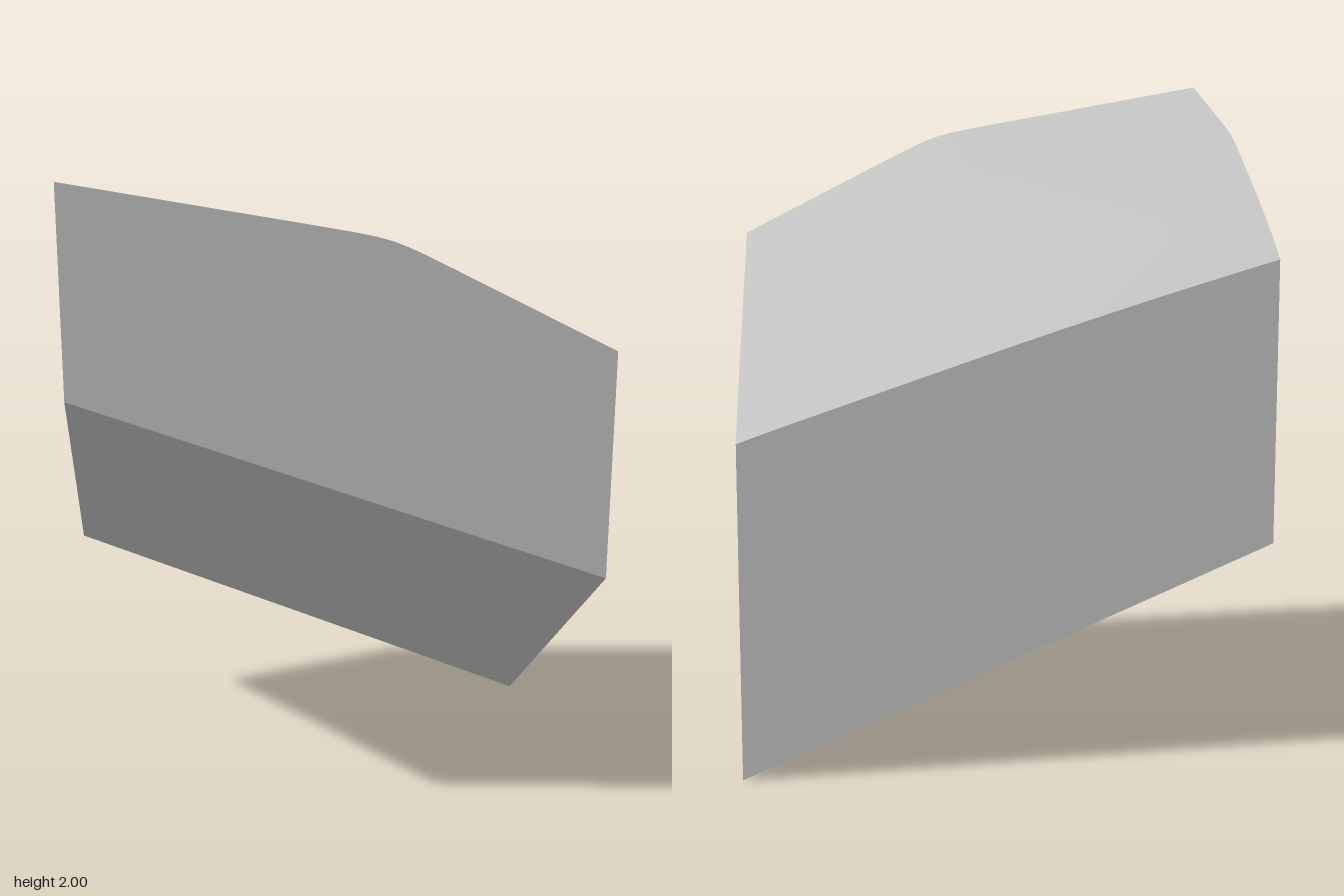
import * as THREE from 'three';

const W = 0.765, D = 0.552; // half width and half depth

// Planes y = a + b*x + c*z whose softened lower envelope is the top
const planes = [
  [1.558, -0.341, 0.59],  // main slope
  [1.684, -0.183, 0.32],  // shallow corner
  [1.638, -0.513, 0.48],  // steep triangular side
  [1.66, -0.294, 0.75],   // steep rear corner
];
const soft = 0.008;

function topY(x, z) {
  const h = planes.map(([a, b, c]) => a + b * x + c * z);
  const low = Math.min(...h);
  const sum = h.reduce((s, v) => s + Math.exp((low - v) / soft), 0);
  return low - soft * Math.log(sum);
}

// Footprint corners, counterclockwise from above: x, z, underside height
const corners = [
  [-W, D, 1.412],
  [W, D, 0.837],
  [W, -D, 0],
  [-W, -D, 0.652],
];

export function createModel() {
  const group = new THREE.Group();
  const grey = new THREE.MeshStandardMaterial({ color: 0xc0c0c0 });
  grey.name = 'light grey';

  function add(name, geometry) {
    geometry.computeVertexNormals();
    const mesh = new THREE.Mesh(geometry, grey);
    mesh.name = name;
    group.add(mesh);
  }

  // Softly faceted top
  const top = new THREE.PlaneGeometry(2 * W, 2 * D, 72, 54).rotateX(-Math.PI / 2);
  const tp = top.attributes.position;
  for (let i = 0; i < tp.count; i++) tp.setY(i, topY(tp.getX(i), tp.getZ(i)));
  add('top', top);

  // Upright walls between the top and the sloping underside
  ['frontWall', 'leftWall', 'backWall', 'rightWall'].forEach((name, k) => {
    const [x0, z0, y0] = corners[k];
    const [x1, z1, y1] = corners[(k + 1) % 4];
    const wall = new THREE.PlaneGeometry(1, 1, k % 2 ? 54 : 72, 1);
    const p = wall.attributes.position;
    for (let i = 0; i < p.count; i++) {
      const t = p.getX(i) + 0.5;
      const x = x0 + (x1 - x0) * t, z = z0 + (z1 - z0) * t;
      p.setXYZ(i, x, p.getY(i) > 0 ? topY(x, z) : y0 + (y1 - y0) * t, z);
    }
    add(name, wall);
  });

  // Underside, folded along one diagonal
  const points = [0, 3, 2, 0, 2, 1].map((i) => {
    const [x, z, y] = corners[i];
    return new THREE.Vector3(x, y, z);
  });
  add('underside', new THREE.BufferGeometry().setFromPoints(points));

  return group;
}
